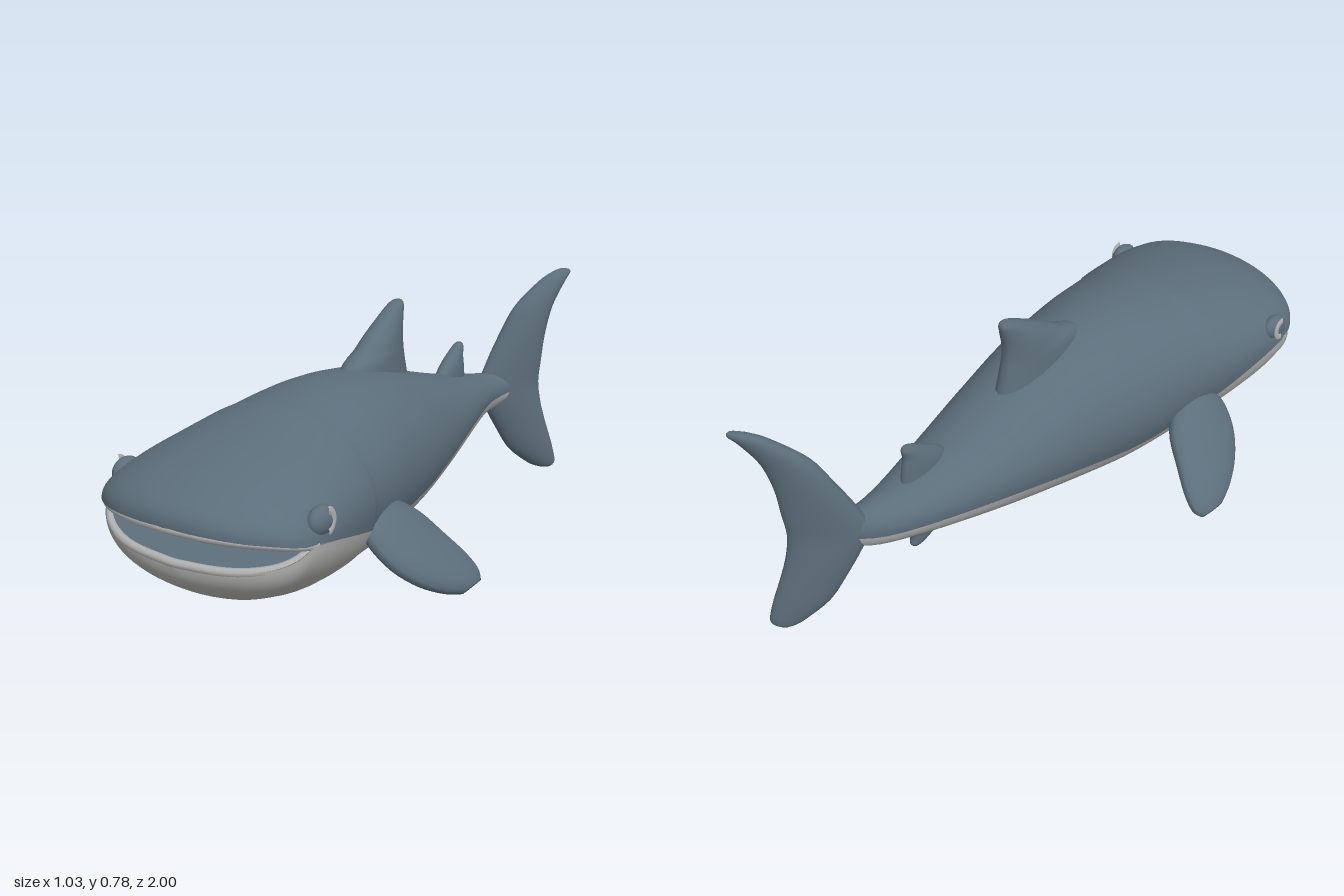
import * as THREE from 'three';

// Smoothly resample rows of numbers (uniform Catmull-Rom, n steps per span)
function smooth(rows, n) {
  const out = [], last = rows.length - 1;
  for (let i = 0; i < last; i++) {
    const p0 = rows[Math.max(i - 1, 0)], p1 = rows[i], p2 = rows[i + 1], p3 = rows[Math.min(i + 2, last)];
    for (let k = 0; k < n; k++) {
      const t = k / n;
      out.push(p1.map((b, c) => {
        const m1 = (p2[c] - p0[c]) / 2, m2 = (p3[c] - b) / 2, d = p2[c] - b;
        return b + t * (m1 + t * (3 * d - 2 * m1 - m2 + t * (m1 + m2 - 2 * d)));
      }));
    }
  }
  out.push(rows[last]);
  return out;
}

// Skin over rows of [x, y, z] points; closed joins each row into a ring
function skin(rows, closed = false) {
  const w = rows[0].length, idx = [];
  for (let i = 0; i < rows.length - 1; i++) {
    for (let j = 0; j < (closed ? w : w - 1); j++) {
      const k = (j + 1) % w, a = i * w + j, b = i * w + k;
      idx.push(a, a + w, b, b, a + w, b + w);
    }
  }
  const g = new THREE.BufferGeometry();
  g.setAttribute('position', new THREE.Float32BufferAttribute(rows.flat(2), 3));
  g.setIndex(idx);
  g.computeVertexNormals();
  return g;
}

// Fin standing along y; rows: [y, leading z, trailing z, half thickness]
function finGeometry(rows, xAt = () => 0) {
  const ring = (y, lead, trail, h) => Array.from({ length: 20 }, (_, j) => {
    const a = j / 20 * Math.PI * 2;
    const z = (lead + trail) / 2 + (lead - trail) / 2 * Math.sin(a);
    return [xAt(z) + h * Math.cos(a), y, z];
  });
  const cap = ([y, lead, trail]) => ring(y, (lead + trail) / 2, (lead + trail) / 2, 0);
  const rings = smooth(rows, 4).map((r) => ring(...r));
  return skin([cap(rows[0]), ...rings, cap(rows[rows.length - 1])], true);
}

export function createModel() {
  const model = new THREE.Group();
  const material = (name, color) => {
    const m = new THREE.MeshStandardMaterial({ color });
    m.name = name;
    return m;
  };
  const blue = material('slate blue skin', 0x5c6e7b);
  const pale = material('pale grey skin', 0xb2b2b0);
  const add = (name, geometry, mat) => {
    const mesh = new THREE.Mesh(geometry, mat);
    mesh.name = name;
    model.add(mesh);
    return mesh;
  };

  // Body stations: z, centre x, half width, top, upper mid, lower mid, bottom, sine of colour seam
  const stations = smooth([
    [1.0, 0, 0.0, 0.452, 0.440, 0.335, 0.325, 0],
    [0.99, 0, 0.11, 0.478, 0.438, 0.338, 0.29, 0],
    [0.965, 0, 0.2, 0.502, 0.434, 0.343, 0.258, 0],
    [0.92, 0, 0.276, 0.525, 0.426, 0.355, 0.225, 0],
    [0.87, 0, 0.322, 0.547, 0.414, 0.375, 0.20, 0],
    [0.81, 0, 0.344, 0.565, 0.402, 0.402, 0.178, 0],
    [0.72, 0, 0.348, 0.586, 0.402, 0.402, 0.148, -0.07],
    [0.60, 0, 0.338, 0.608, 0.395, 0.395, 0.125, -0.17],
    [0.50, 0, 0.325, 0.626, 0.386, 0.386, 0.115, -0.25],
    [0.46, 0, 0.315, 0.629, 0.383, 0.383, 0.112, -0.29],
    [0.30, 0, 0.297, 0.640, 0.374, 0.374, 0.108, -0.38],
    [0.15, 0, 0.275, 0.632, 0.366, 0.366, 0.114, -0.39],
    [0, 0.005, 0.246, 0.605, 0.360, 0.360, 0.130, -0.36],
    [-0.2, 0.005, 0.205, 0.540, 0.355, 0.355, 0.168, -0.28],
    [-0.4, 0.005, 0.158, 0.475, 0.350, 0.350, 0.212, -0.2],
    [-0.6, 0.015, 0.098, 0.422, 0.342, 0.342, 0.248, -0.18],
    [-0.72, 0.042, 0.058, 0.396, 0.336, 0.336, 0.265, -0.2],
    [-0.82, 0.10, 0.02, 0.37, 0.335, 0.335, 0.30, -0.2],
  ], 4);
  const jawZ = (z) => (z > 0.81 ? 0.81 + (z - 0.81) * 0.87 : z);
  const arc = (from, to, point) => Array.from({ length: 33 }, (_, j) => point(from + (to - from) * j / 32));

  // Back and belly shells meet at the colour seam
  add('back', skin(stations.map(([z, cx, hw, top, up, , bot, s]) => {
    const a = Math.asin(s);
    return arc(a, Math.PI - a, (t) => {
      const v = Math.sin(t);
      return [cx + hw * Math.cos(t), up + v * (v > 0 ? top - up : up - bot), z];
    });
  })), blue);
  add('belly', skin(stations.map(([z, cx, hw, , , low, bot, s]) => {
    const a = Math.asin(s);
    return arc(Math.PI - a, Math.PI * 2 + a, (t) =>
      [cx + hw * Math.cos(t), low + Math.sin(t) * (low - bot), jawZ(z)]);
  })), pale);

  // Open mouth: roof, floor and pale lips
  const jaw = stations.filter(([z]) => z >= 0.809);
  add('mouthRoof', skin(jaw.map(([z, , hw, , up]) => [[-hw, up, z], [0, up, z], [hw, up, z]])), blue);
  add('mouthFloor', skin(jaw.map(([z, , hw, , , low]) =>
    [[hw, low, jawZ(z)], [0, low, jawZ(z)], [-hw, low, jawZ(z)]])), blue);
  const lip = (name, point, radius) => {
    const half = jaw.filter((_, i) => i % 2 === 0).map(point);
    const path = [...half.slice(1).reverse().map(([x, y, z]) => [-x, y, z]), ...half];
    const curve = new THREE.CatmullRomCurve3(path.map((p) => new THREE.Vector3(...p)));
    add(name, new THREE.TubeGeometry(curve, 60, radius, 8), pale);
  };
  lip('upperLip', ([z, , hw, , up]) => [hw * 0.97, up - 0.002, z - 0.012], 0.014);
  lip('lowerLip', ([z, , hw, , , low]) => [hw * 0.97, low - 0.004, jawZ(z) - 0.01], 0.013);

  // Dorsal, second dorsal, anal and tail fins
  add('dorsalFin', finGeometry([
    [0.50, 0.20, -0.21, 0.07], [0.62, 0.15, -0.178, 0.06], [0.66, 0.075, -0.17, 0.053], [0.70, 0.01, -0.17, 0.045],
    [0.74, -0.06, -0.178, 0.034], [0.77, -0.115, -0.183, 0.024], [0.782, -0.145, -0.177, 0.014],
  ]), blue);
  add('secondDorsalFin', finGeometry([
    [0.41, -0.38, -0.585, 0.035], [0.465, -0.415, -0.578, 0.032], [0.505, -0.47, -0.57, 0.026],
    [0.535, -0.52, -0.574, 0.018], [0.547, -0.545, -0.567, 0.01],
  ], () => 0.012), blue);
  add('analFin', finGeometry([
    [0.163, -0.535, -0.56, 0.01], [0.175, -0.505, -0.568, 0.018], [0.205, -0.45, -0.565, 0.026],
    [0.235, -0.41, -0.58, 0.032], [0.28, -0.39, -0.585, 0.034],
  ], () => 0.012), blue);
  add('tailFin', finGeometry([
    [0, -0.925, -0.96, 0.018], [0.02, -0.89, -0.972, 0.03], [0.09, -0.82, -0.957, 0.042], [0.18, -0.772, -0.93, 0.047],
    [0.26, -0.735, -0.91, 0.048], [0.34, -0.705, -0.9, 0.046], [0.42, -0.73, -0.905, 0.048], [0.52, -0.775, -0.912, 0.048],
    [0.62, -0.825, -0.935, 0.042], [0.70, -0.90, -0.975, 0.032], [0.73, -0.94, -0.996, 0.022], [0.742, -0.967, -0.993, 0.014],
  ], (z) => 0.05 + 0.66 * (-0.75 - z)), blue);

  for (const [side, sign] of [['left', 1], ['right', -1]]) {
    // Pectoral fin, sloping down and out
    const fin = finGeometry([
      [-0.03, 0.44, 0.37, 0.025], [0.04, 0.49, 0.30, 0.042], [0.10, 0.513, 0.25, 0.046], [0.19, 0.495, 0.215, 0.044],
      [0.27, 0.44, 0.187, 0.04], [0.33, 0.365, 0.18, 0.032], [0.362, 0.30, 0.20, 0.02],
    ]);
    fin.rotateZ(-2.38 * sign).translate(0.25 * sign, 0.352, 0);
    add(side + 'PectoralFin', fin, blue);

    // Eye: a low bump with a pale crescent
    const bump = new THREE.SphereGeometry(1, 20, 14).scale(0.03, 0.042, 0.052);
    add(side + 'EyeBump', bump.translate(0.325 * sign, 0.452, 0.765), blue);
    const crescent = new THREE.TorusGeometry(0.027, 0.011, 8, 14, Math.PI);
    crescent.rotateZ(-Math.PI / 2).rotateY(Math.PI / 2).scale(0.4, 1.1, 1);
    add(side + 'Eye', crescent.translate(0.351 * sign, 0.455, 0.77), pale);
  }
  return model;
}
